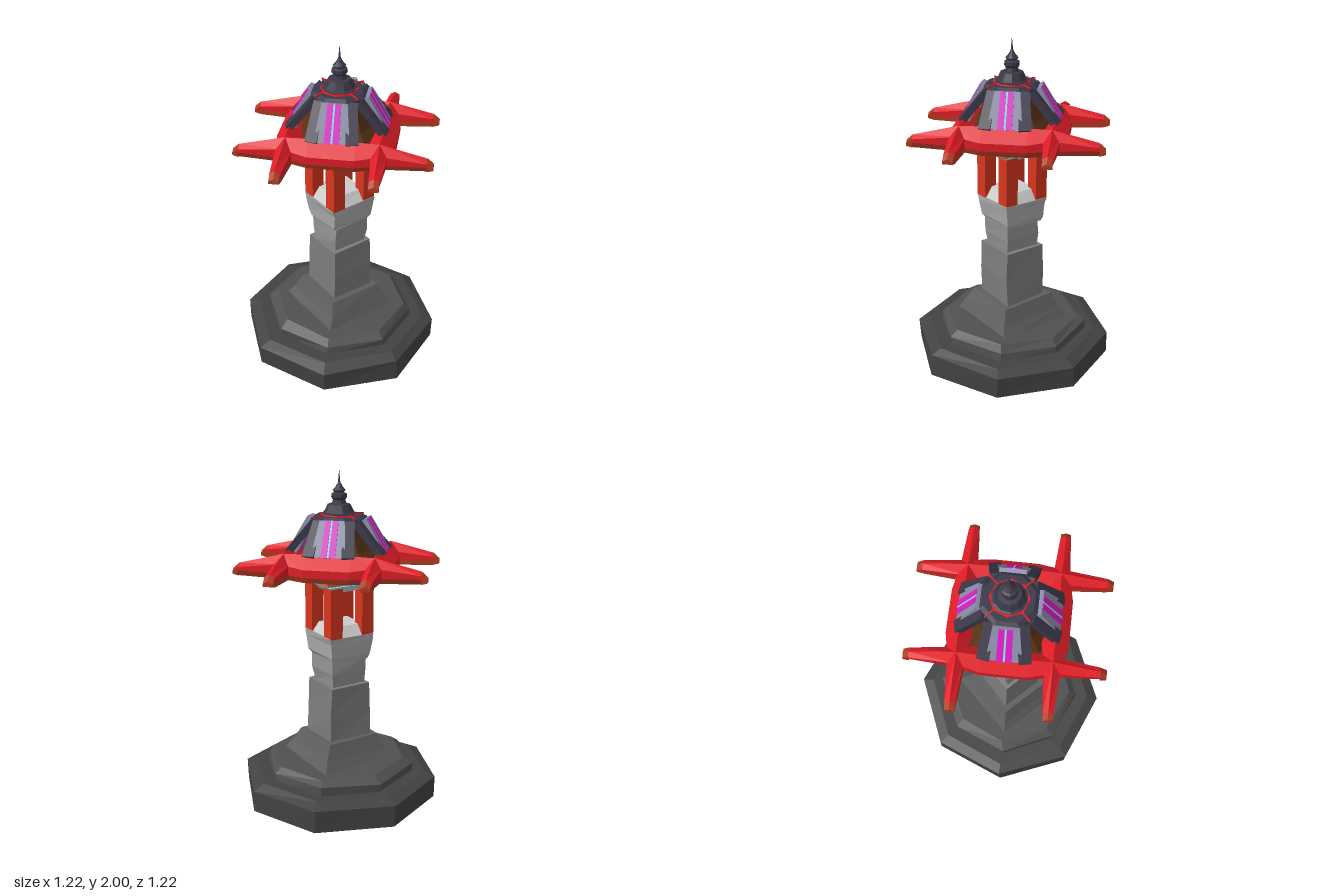
import * as THREE from 'three';

const mat = (color) => new THREE.MeshStandardMaterial({ color, flatShading: true });
const M = {
  base: mat(0x424242), step: mat(0x505050), plinth: mat(0x5e5e5e), shaft: mat(0x7c7c7c),
  neck: mat(0x929292), head: mat(0xaaaaaa), pale: mat(0xcccccc), red: mat(0xe01c26),
  post: mat(0xd8361f), rust: mat(0xb03a22), orange: mat(0xd06a42), brown: mat(0x5a3216),
  navy: mat(0x3a3848), lavender: mat(0x8a8aa6), magenta: mat(0xd81cc4), cyan: mat(0x90d8e0),
};

// Skin a closed solid through a list of equal-length loops of [x, y, z]
function loft(name, loops, material) {
  const pos = [], n = loops[0].length;
  const tri = (a, b, c) => pos.push(...a, ...b, ...c);
  for (let i = 0; i < loops.length - 1; i++) {
    for (let j = 0; j < n; j++) {
      const k = (j + 1) % n, A = loops[i], B = loops[i + 1];
      tri(A[j], A[k], B[k]);
      tri(A[j], B[k], B[j]);
    }
  }
  const first = loops[0], last = loops[loops.length - 1];
  for (let j = 1; j < n - 1; j++) {
    tri(last[0], last[j], last[j + 1]);
    tri(first[0], first[j + 1], first[j]);
  }
  const g = new THREE.BufferGeometry();
  g.setAttribute('position', new THREE.Float32BufferAttribute(pos, 3));
  g.computeVertexNormals();
  const mesh = new THREE.Mesh(g, material);
  mesh.name = name;
  return mesh;
}

// Hewn stone: n-sided rings [y, radius, shiftX, shiftZ], roughened by a seeded wobble
function stone(name, n, rings, material, rough = 0, turn = 0) {
  let seed = name.length * 37 + n;
  const rnd = () => ((seed = (seed * 16807 + 11) % 2147483647) / 2147483647 - 0.5) * rough;
  const loops = rings.map(([y, r, sx = 0, sz = 0]) => Array.from({ length: n }, (_, j) => {
    const a = turn + (j / n) * Math.PI * 2;
    return [Math.sin(a) * r + sx + rnd(), y + (y > 0 ? rnd() : 0), Math.cos(a) * r + sz + rnd()];
  }));
  return loft(name, loops, material);
}

// Square stone with rings [y, halfWidth, shiftX, shiftZ]
const square = (name, rings, material, rough) =>
  stone(name, 4, rings.map(([y, h, ...s]) => [y, h * Math.SQRT2, ...s]), material, rough, Math.PI / 4);

// Squared bar between two points
function bar(name, a, b, w, d, material) {
  const A = new THREE.Vector3(...a), B = new THREE.Vector3(...b);
  const mesh = new THREE.Mesh(new THREE.BoxGeometry(w, d, A.distanceTo(B)), material);
  mesh.position.copy(A).add(B).multiplyScalar(0.5);
  mesh.lookAt(B);
  mesh.name = name;
  return mesh;
}

// Sloping roof strip between v/y at the eave and v/y at the top
function strip(name, x0, x1, taper, lift, material) {
  const ring = (y, v, s) => [
    [x0 * s, y, v + lift], [x1 * s, y, v + lift], [x1 * s, y - 0.02, v - 0.05], [x0 * s, y - 0.02, v - 0.05]];
  return loft(name, [ring(1.54, 0.285, 1), ring(1.73, 0.175, taper)], material);
}

// One eave with long beam ends; rows are [u, inner, ridge, outer, ridgeY, edgeY, bottomY]
function eave() {
  const g = new THREE.Group();
  g.name = 'eave';
  const half = [
    [0.525, 0.235, 0.265, 0.295, 1.485, 1.465, 1.445],
    [0.27, 0.215, 0.262, 0.31, 1.545, 1.495, 1.44],
    [0.13, 0.19, 0.265, 0.34, 1.55, 1.475, 1.43],
  ];
  const rows = [...half.map(([u, ...r]) => [-u, ...r]), ...half.slice().reverse()];
  g.add(loft('eaveTop', rows.map(([u, vi, vr, vo, yr, ye, yb]) =>
    [[u, yb, vi], [u, ye, vi], [u, yr, vr], [u, ye, vo], [u, yb, vo]]), M.red));
  g.add(loft('eaveTrim', rows.map(([u, vi, , vo, , , yb]) =>
    [[u, yb - 0.03, vi], [u, yb, vi], [u, yb, vo], [u, yb - 0.03, vo - 0.012]]), M.rust));
  // Slanted beam ends
  for (const s of [-1, 1]) {
    const end = [[0.525, 1.415, 1.485], [0.56, 1.425, 1.455]].map(([u, b, t]) =>
      [[s * u, b, 0.237], [s * u, t - 0.015, 0.237], [s * u, t, 0.265], [s * u, t - 0.015, 0.293], [s * u, b, 0.293]]);
    g.add(loft('beamEnd', s > 0 ? end : end.reverse(), M.rust));
  }
  return g;
}

export function createModel() {
  const model = new THREE.Group();
  model.name = 'lanternTower';

  // Stepped stone base
  model.add(
    stone('base', 8, [[0, 0.605], [0.13, 0.605], [0.16, 0.54]], M.base, 0.012),
    stone('step', 8, [[0.14, 0.46], [0.21, 0.46], [0.245, 0.41]], M.step, 0.02),
    square('plinth', [[0.23, 0.255], [0.3, 0.215], [0.385, 0.17]], M.plinth, 0.012));

  // Stacked pillar blocks
  model.add(
    square('shaft', [[0.37, 0.14], [0.55, 0.136], [0.72, 0.133, -0.003]], M.shaft, 0.014),
    square('neck', [[0.71, 0.108, 0.005], [0.8, 0.118, 0.005], [0.89, 0.118, 0.005]], M.neck, 0.014),
    square('head', [[0.88, 0.122], [0.91, 0.135], [1.0, 0.145], [1.04, 0.148]], M.head, 0.012),
    square('headTop', [[1.035, 0.145], [1.095, 0.1]], M.pale, 0.006));

  // Lantern posts at the four corners
  for (const x of [-1, 1]) for (const z of [-1, 1]) {
    const post = new THREE.Mesh(new THREE.BoxGeometry(0.08, 0.3, 0.08), M.post);
    post.position.set(x * 0.108, 1.185, z * 0.108);
    post.name = 'post';
    model.add(post);
  }

  // Layers between posts and roof
  model.add(
    square('lintel', [[1.3, 0.1], [1.345, 0.14]], M.pale),
    square('paleTrim', [[1.338, 0.155], [1.35, 0.165]], M.cyan),
    square('paleSlab', [[1.35, 0.15], [1.362, 0.15]], M.pale),
    square('orangeFrame', [[1.36, 0.17], [1.368, 0.2], [1.405, 0.205]], M.orange));
  model.add(stone('roofFloor', 4, [[1.4, 0.35], [1.45, 0.4]], M.brown));
  model.add(stone('roofCore', 8, [[1.44, 0.27], [1.54, 0.2], [1.72, 0.13]], M.brown));

  for (let i = 0; i < 4; i++) {
    // Diagonal roof side: eave and striped panel
    const side = new THREE.Group();
    side.name = 'roofSide';
    side.rotation.y = Math.PI / 4 + i * Math.PI / 2;
    side.add(eave(), strip('roofPanel', -0.1, 0.1, 0.72, 0, M.lavender));
    for (const s of [-1, 1]) {
      const [a, b] = [s * 0.007, s * 0.042].sort((p, q) => p - q);
      side.add(strip('panelStripe', a, b, 0.9, 0.005, M.magenta));
    }
    side.add(strip('panelLine', -0.005, 0.005, 1, 0.004, M.cyan));
    model.add(side);

    // Gable of dark rafters on each axis
    const gable = new THREE.Group();
    gable.name = 'gable';
    gable.rotation.y = i * Math.PI / 2;
    for (const s of [-1, 1]) {
      gable.add(bar('rafter', [s * 0.03, 1.71, 0.15], [s * 0.115, 1.53, 0.275], 0.07, 0.04, M.navy));
    }
    gable.add(bar('redRib', [0, 1.742, 0.09], [0, 1.735, 0.17], 0.008, 0.008, M.red));
    model.add(gable);
  }

  // Cap and spire
  model.add(stone('cap', 8, [[1.69, 0.17], [1.72, 0.17], [1.738, 0.145]], M.navy, 0, Math.PI / 8));
  const redRing = new THREE.Mesh(new THREE.CylinderGeometry(0.11, 0.112, 0.008, 8), M.red);
  redRing.position.y = 1.741;
  redRing.name = 'redRing';
  model.add(redRing);
  const profile = [[0.1, 1.735], [0.1, 1.75], [0.088, 1.755], [0.066, 1.8], [0.042, 1.803], [0.036, 1.825],
    [0.046, 1.84], [0.044, 1.86], [0.028, 1.868], [0.038, 1.88], [0.02, 1.9], [0.007, 1.925], [0, 2]];
  const spire = new THREE.Mesh(
    new THREE.LatheGeometry(profile.map(([r, y]) => new THREE.Vector2(r, y)), 10), M.navy);
  spire.name = 'spire';
  model.add(spire);
  return model;
}
